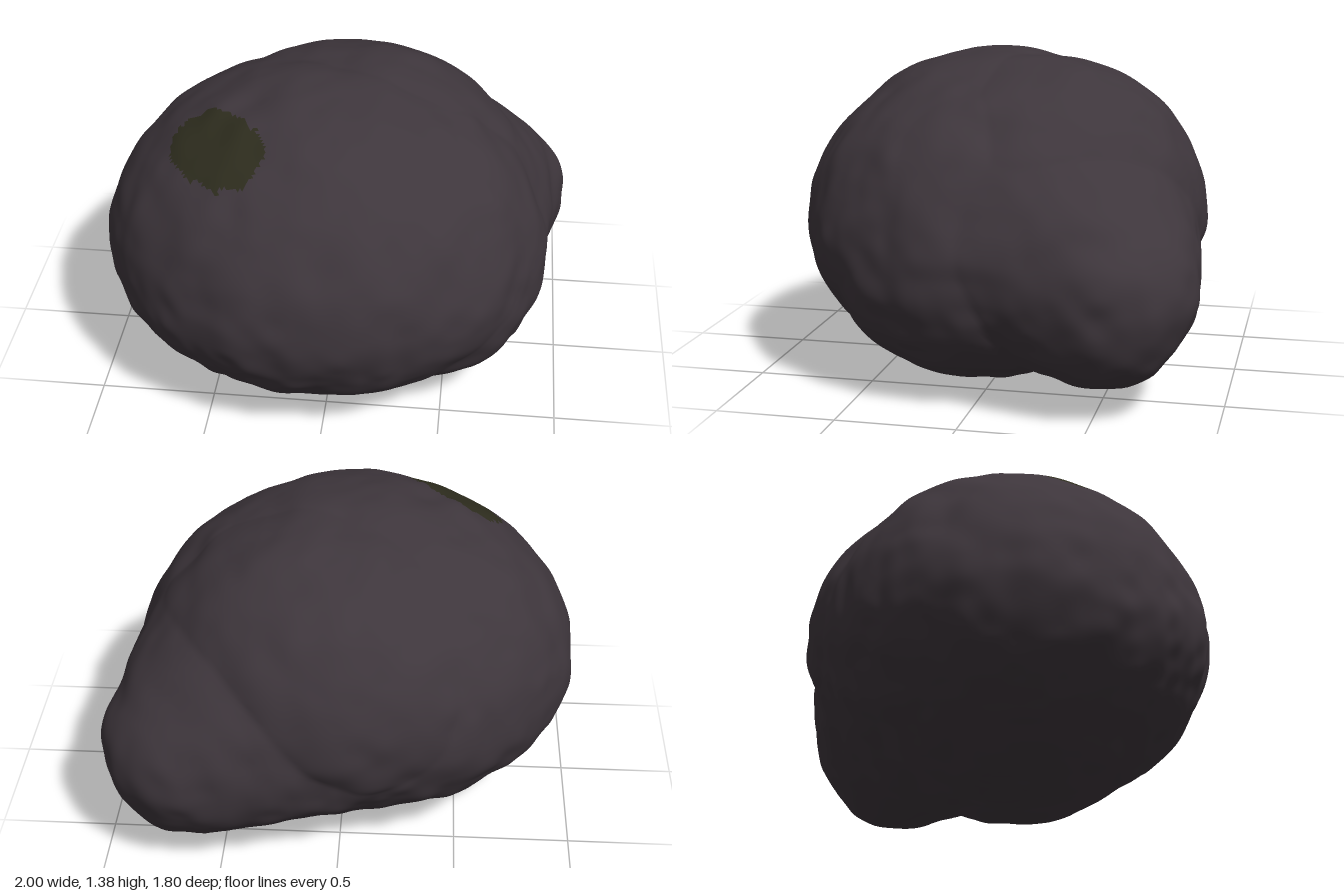
import * as THREE from 'three';
import { mergeVertices } from 'three/addons/utils/BufferGeometryUtils.js';

const CORE = new THREE.Vector3(0, 0.64, 0);

// Distance from the core along d to the far side of an ellipsoid (0 if missed)
function exitDistance(d, c, r) {
  const o = CORE.clone().sub(c).divide(r);
  const v = d.clone().divide(r);
  const a = v.dot(v), b = o.dot(v), k = b * b - a * (o.dot(o) - 1);
  return k < 0 ? 0 : (-b + Math.sqrt(k)) / a;
}

// A blob's upper and lower halves have different heights
function makeBlob(x, y, z, rx, rz, up, down) {
  return {
    c: new THREE.Vector3(x, y, z),
    up: new THREE.Vector3(rx, up, rz),
    down: new THREE.Vector3(rx, down, rz),
  };
}
function blobDistance(d, { c, up, down }) {
  const t = exitDistance(d, c, up);
  return t > 0 && CORE.y + t * d.y >= c.y ? t : exitDistance(d, c, down);
}

// Smooth lattice noise in -1..1
function hash(x, y, z) {
  let h = (x * 374761393 + y * 668265263 + z * 1440662683) | 0;
  h = Math.imul(h ^ (h >>> 13), 1274126177);
  return ((h ^ (h >>> 16)) >>> 0) / 2147483648 - 1;
}
function noise(p, freq) {
  const q = [p.x * freq + 31, p.y * freq + 17, p.z * freq + 53];
  const i = q.map(Math.floor);
  const f = q.map((v, n) => { const t = v - i[n]; return t * t * (3 - 2 * t); });
  let sum = 0;
  for (let n = 0; n < 8; n++) {
    const b = [n & 1, (n >> 1) & 1, n >> 2];
    const w = b.reduce((m, on, k) => m * (on ? f[k] : 1 - f[k]), 1);
    sum += w * hash(i[0] + b[0], i[1] + b[1], i[2] + b[2]);
  }
  return sum;
}

// Moss covers a slanted oval on the front right shoulder, with a ragged rim
function isMoss(p) {
  if (p.y < 0.8) return false;
  const dx = p.x + 0.465, dz = p.z - 0.375;
  const u = (dx + dz) * Math.SQRT1_2 / 0.25, v = (dx - dz) * Math.SQRT1_2 / 0.135;
  return Math.abs(u) ** 2.5 + Math.abs(v) ** 2.5 < 1 + 0.25 * noise(p, 40);
}

export function createModel() {
  const group = new THREE.Group();
  group.name = 'boulder';
  const stone = new THREE.MeshStandardMaterial({ color: 0x3e363c });
  stone.name = 'dark stone';
  const moss = new THREE.MeshStandardMaterial({ color: 0x2e2d1e });
  moss.name = 'dark moss';

  const blobs = [
    makeBlob(0.3, 0.52, 0.06, 0.62, 0.64, 0.75, 0.5), // left flank
    makeBlob(0.05, 0.68, -0.12, 0.8, 0.74, 0.68, 0.55), // back crown
  ];
  // Large body drawn out into a low lobe at the back left
  const mix = THREE.MathUtils.lerp;
  for (let i = 0; i <= 16; i++) {
    const t = i / 16, swell = Math.sin(Math.PI * t);
    blobs.push(makeBlob(
      mix(-0.05, 0.62, t), mix(0.6, 0.5, t), mix(0.06, -0.5, t) - 0.03 * swell,
      mix(0.95, 0.38, t), mix(0.84, 0.4, t),
      mix(0.77, 0.36, t) + 0.035 * swell, mix(0.6, 0.41, t) - 0.03 * swell,
    ));
  }

  let geo = new THREE.IcosahedronGeometry(1, 56);
  geo.deleteAttribute('normal');
  geo.deleteAttribute('uv');
  geo = mergeVertices(geo, 1e-5);
  const pos = geo.attributes.position;
  const d = new THREE.Vector3(), p = new THREE.Vector3();
  for (let i = 0; i < pos.count; i++) {
    d.fromBufferAttribute(pos, i).normalize();
    let r = Math.max(...blobs.map((b) => blobDistance(d, b)));
    p.copy(d).multiplyScalar(r);
    // Broad lumps, then smaller dents that are stronger low down
    const low = THREE.MathUtils.smoothstep(-p.y, -0.3, 0.3);
    r += 0.005 * noise(p, 3) + 0.012 * noise(p, 6) + (0.004 + 0.006 * low) * noise(p, 11);
    p.copy(d).multiplyScalar(r).add(CORE);
    pos.setXYZ(i, p.x, p.y, p.z);
  }

  // Rest the rock on the ground
  geo.computeBoundingBox();
  geo.translate(0, -geo.boundingBox.min.y, 0);
  geo.computeVertexNormals();

  // Sort faces into stone and moss
  const faces = [[], []];
  const idx = geo.index;
  for (let i = 0; i < idx.count; i += 3) {
    const tri = [idx.getX(i), idx.getX(i + 1), idx.getX(i + 2)];
    p.set(0, 0, 0);
    for (const v of tri) p.add(d.fromBufferAttribute(pos, v));
    faces[isMoss(p.divideScalar(3)) ? 1 : 0].push(...tri);
  }
  geo.setIndex(faces[0].concat(faces[1]));
  geo.clearGroups();
  geo.addGroup(0, faces[0].length, 0);
  geo.addGroup(faces[0].length, faces[1].length, 1);

  const rock = new THREE.Mesh(geo, [stone, moss]);
  rock.name = 'rockWithMossPatch';
  group.add(rock);
  return group;
}
